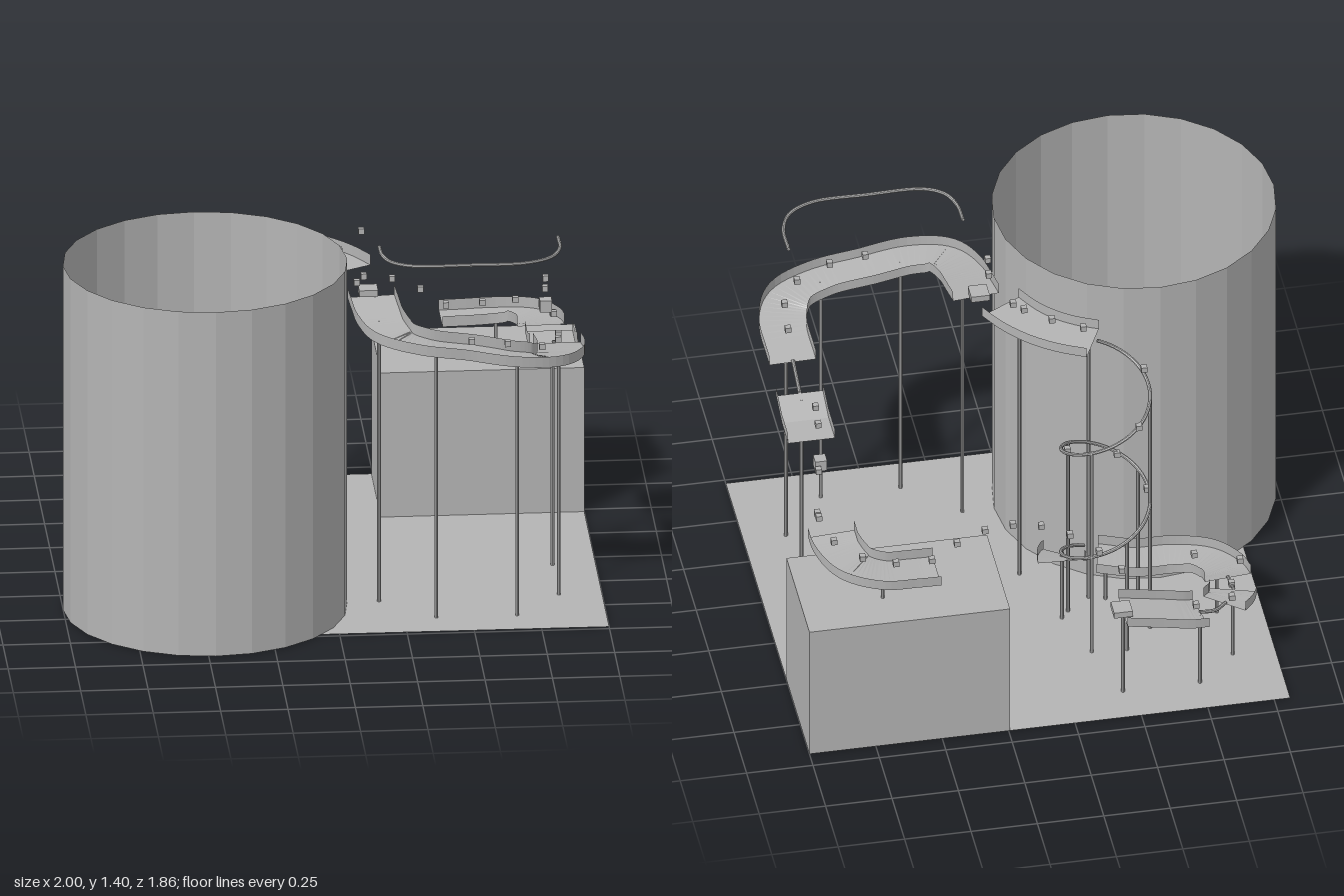
import * as THREE from 'three';

const grey = new THREE.MeshStandardMaterial({ color: 0xb4b4b4, side: THREE.DoubleSide, flatShading: true });
grey.name = 'plain grey';

const V = (p) => new THREE.Vector3(...p);

export function createModel() {
  const model = new THREE.Group();
  const add = (name, geometry, x = 0, y = 0, z = 0, parent = model) => {
    const mesh = new THREE.Mesh(geometry, grey);
    mesh.name = name;
    mesh.position.set(x, y, z);
    parent.add(mesh);
    return mesh;
  };
  const group = (name) => {
    const g = new THREE.Group();
    g.name = name;
    model.add(g);
    return g;
  };

  // U-shaped open channel swept along a floor centre line
  const channel = (name, points, { straight = false, steps = 36, half = 0.088, wall = 0.042 } = {}) => {
    const curve = new THREE.CatmullRomCurve3(points.map(V));
    const rows = straight ? points.map(V) : curve.getPoints(steps);
    const section = [[-half, wall], [-half, 0], [half, 0], [half, wall]];
    const pos = [], index = [];
    rows.forEach((p, i) => {
      const a = rows[Math.max(i - 1, 0)], b = rows[Math.min(i + 1, rows.length - 1)];
      const side = new THREE.Vector3(b.z - a.z, 0, a.x - b.x).normalize();
      for (const [s, h] of section) pos.push(p.x + side.x * s, p.y + h, p.z + side.z * s);
      if (i) for (let k = 0; k < 3; k++) {
        const q = (i - 1) * 4 + k;
        index.push(q, q + 4, q + 1, q + 1, q + 4, q + 5);
      }
    });
    const g = new THREE.BufferGeometry();
    g.setAttribute('position', new THREE.Float32BufferAttribute(pos, 3));
    g.setIndex(index);
    g.computeVertexNormals();
    return add(name, g);
  };

  const rail = (name, points, steps = 40, radius = 0.007) =>
    add(name, new THREE.TubeGeometry(new THREE.CatmullRomCurve3(points.map(V)), steps, radius, 8));

  // Ground, open tower and block
  add('ground', new THREE.PlaneGeometry(1.81, 1.66).rotateX(-Math.PI / 2), 0.095, 0, -0.1);
  add('tower', new THREE.CylinderGeometry(0.527, 0.527, 1.36, 24, 1, true), -0.474, 0.68, 0.4);
  add('block', new THREE.BoxGeometry(0.755, 0.57, 0.455), 0.6225, 0.285, -0.7025);

  // Channels of the run, from the top downwards
  channel('topChannel', [[-0.205, 1.193, -0.2], [-0.115, 1.193, -0.155], [-0.035, 1.193, -0.095],
    [0.035, 1.193, -0.015], [0.09, 1.193, 0.08]], { steps: 12 });
  channel('bigCurveChannel', [[0.155, 1.14, 0.22], [0.165, 1.123, 0.32], [0.178, 1.107, 0.42],
    [0.225, 1.087, 0.53], [0.335, 1.066, 0.578], [0.5, 1.04, 0.578], [0.67, 1.01, 0.578],
    [0.795, 0.988, 0.53], [0.845, 0.968, 0.42], [0.845, 0.935, 0.22]], { steps: 60 });
  channel('jumpChannel', [[0.843, 0.885, 0.095], [0.843, 0.845, -0.02], [0.843, 0.845, -0.145]], { straight: true });
  channel('blockChannel', [[0.845, 0.715, -0.545], [0.838, 0.703, -0.62], [0.79, 0.688, -0.725],
    [0.69, 0.672, -0.772], [0.58, 0.667, -0.775], [0.49, 0.665, -0.775]]);
  channel('backChannel', [[-0.21, 0.37, -0.775], [-0.35, 0.345, -0.775], [-0.46, 0.325, -0.775],
    [-0.505, 0.318, -0.768]], { steps: 12 });
  channel('cornerChannel', [[-0.605, 0.3, -0.705], [-0.64, 0.292, -0.66], [-0.657, 0.285, -0.61]], { steps: 10 });
  channel('lowChannel', [[-0.66, 0.245, -0.485], [-0.65, 0.222, -0.405], [-0.595, 0.198, -0.305],
    [-0.49, 0.177, -0.248], [-0.36, 0.175, -0.24], [-0.22, 0.19, -0.21]]);
  const lift = [];
  for (let i = 0; i <= 4; i++) {
    const a = i * 0.16;
    lift.push([-0.22 + 0.165 * Math.cos(a), 0.325 - i * 0.012, -0.375 + 0.165 * Math.sin(a)]);
  }
  channel('liftChannel', lift, { steps: 10 });

  // Spiral rail and the thin joining rails
  const spiral = (t) => [-0.22 - 0.165 * Math.sin(t * Math.PI * 2), 1.21 - 0.485 * t,
    -0.375 + 0.165 * Math.cos(t * Math.PI * 2)];
  rail('spiralRail', Array.from({ length: 61 }, (_, i) => spiral(i * 1.95 / 60)), 150);
  rail('upperRail', [[0.175, 1.39, 0.37], [0.18, 1.39, 0.46], [0.21, 1.39, 0.535], [0.285, 1.39, 0.58],
    [0.5, 1.39, 0.585], [0.7, 1.39, 0.58], [0.795, 1.39, 0.53], [0.838, 1.39, 0.44], [0.842, 1.39, 0.315]], 60);
  rail('frontJoin', [[0.843, 0.94, 0.225], [0.843, 0.89, 0.09]], 2);
  rail('backJoin', [[-0.5, 0.325, -0.77], [-0.56, 0.314, -0.755], [-0.61, 0.305, -0.705]], 12);
  rail('lowJoin', [[-0.657, 0.29, -0.61], [-0.66, 0.25, -0.485]], 2);

  // Support posts: x, top, z, base
  const posts = group('posts');
  const post = (x, top, z, base = 0) =>
    add('post', new THREE.CylinderGeometry(0.007, 0.007, top - base, 8), x, (top + base) / 2, z, posts);
  [[0.172, 1.11, 0.4], [0.37, 1.06, 0.585], [0.67, 1.01, 0.585], [0.84, 0.96, 0.38], [0.84, 0.875, 0.07],
    [-0.19, 1.19, -0.195], [0.035, 1.19, -0.01], [0.695, 0.67, -0.775, 0.57],
    [-0.21, 0.37, -0.775], [-0.5, 0.32, -0.775], [-0.65, 0.29, -0.63],
    [-0.64, 0.21, -0.37], [-0.25, 0.185, -0.215], [-0.07, 0.31, -0.3]].forEach((p) => post(...p));
  for (const t of [0.29, 0.58, 0.87, 1.16, 1.45]) post(...spiral(t));

  // Landing plates
  for (const [x, y, z] of [[0.145, 1.16, 0.215], [-0.205, 0.385, -0.775]])
    add('landingPlate', new THREE.BoxGeometry(0.07, 0.025, 0.07), x, y, z);

  // Small cubes marking the route, and one larger cube
  const cubes = group('routeCubes');
  const small = new THREE.BoxGeometry(0.022, 0.022, 0.022);
  const cube = (x, y, z) => add('routeCube', small, x, y, z, cubes);
  // on the top channel and big curve
  [[-0.175, 1.247, -0.17], [-0.07, 1.247, -0.1], [0.02, 1.247, -0.02], [0.053, 1.247, 0.02],
    [0.125, 1.37, 0.145], [0.1, 1.21, 0.257], [0.5, 1.095, 0.6], [0.635, 1.08, 0.595],
    [0.765, 1.05, 0.555], [0.833, 1.035, 0.445], [0.843, 1.01, 0.325]].forEach((p) => cube(...p));
  // over the gap and along the block channel
  [[0.83, 1.01, -0.155], [0.84, 1.01, -0.26], [0.86, 0.88, -0.37], [0.888, 0.78, -0.495],
    [0.886, 0.775, -0.515], [0.855, 0.762, -0.65], [0.765, 0.745, -0.745], [0.645, 0.725, -0.775],
    [0.51, 0.72, -0.775]].forEach((p) => cube(...p));
  // leap towards the back channel
  for (const x of [0.415, 0.31, 0.205, 0.098, -0.01, -0.12, -0.205])
    cube(x, 0.842 - 1.5 * (x - 0.22) ** 2, -0.775);
  // low channels and spiral
  [[-0.485, 0.365, -0.775], [-0.63, 0.34, -0.72], [-0.657, 0.285, -0.57], [-0.72, 0.26, -0.405],
    [-0.57, 0.22, -0.29], [-0.375, 1.14, -0.32], [-0.32, 1.02, -0.51], [-0.075, 0.85, -0.38],
    [-0.29, 0.685, -0.23], [-0.375, 0.625, -0.38]].forEach((p) => cube(...p));
  add('largeCube', new THREE.BoxGeometry(0.045, 0.045, 0.045), 0.845, 0.88, -0.325);

  return model;
}
